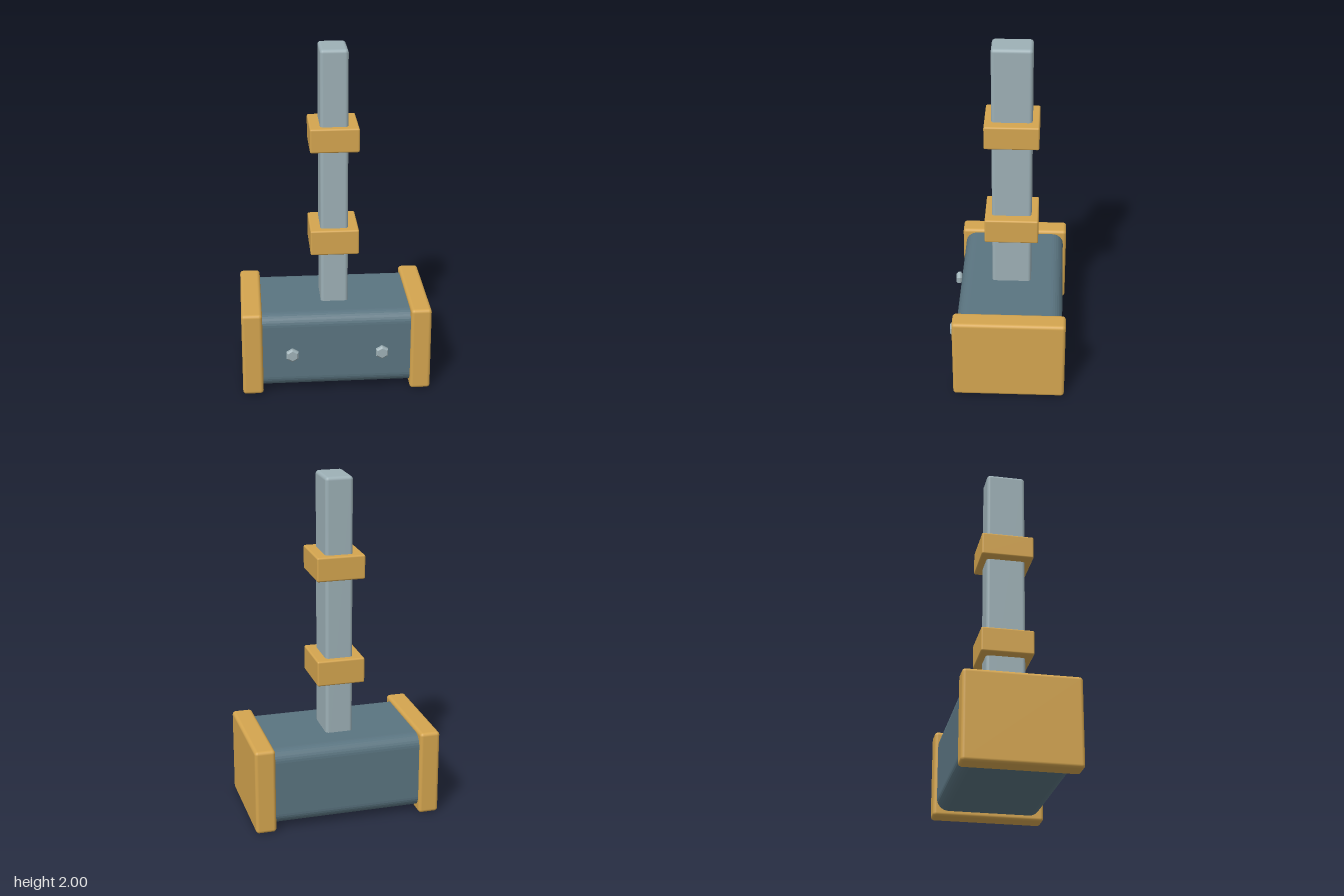
import * as THREE from 'three';
import { RoundedBoxGeometry } from 'three/addons/geometries/RoundedBoxGeometry.js';

const gold = new THREE.MeshStandardMaterial({ color: 0xd4a54f });
const slate = new THREE.MeshStandardMaterial({ color: 0x5a7480 });
const steel = new THREE.MeshStandardMaterial({ color: 0x9db0b6 });

export function createModel() {
  const model = new THREE.Group();

  const add = (name, geometry, material) => {
    const mesh = new THREE.Mesh(geometry, material);
    mesh.name = name;
    model.add(mesh);
    return mesh;
  };

  // Rounded block given by its [min, max] along each axis
  const block = (name, x, y, z, radius, material) => {
    const geometry = new RoundedBoxGeometry(x[1] - x[0], y[1] - y[0], z[1] - z[0], 3, radius);
    const mesh = add(name, geometry, material);
    mesh.position.set((x[0] + x[1]) / 2, (y[0] + y[1]) / 2, (z[0] + z[1]) / 2);
  };

  // Hammer head: a rounded section swept along x
  const [z0, z1, y0, y1, r] = [-0.32, 0.29, 0.03, 0.49, 0.07];
  const section = new THREE.Shape();
  section.absarc(-z0 - r, y1 - r, r, 0, Math.PI / 2);
  section.absarc(-z1 + r, y1 - r, r, Math.PI / 2, Math.PI);
  section.absarc(-z1 + r, y0 + r, r, Math.PI, Math.PI * 1.5);
  section.absarc(-z0 - r, y0 + r, r, Math.PI * 1.5, Math.PI * 2);
  section.closePath();
  const headGeometry = new THREE.ExtrudeGeometry(section, { depth: 0.9, bevelEnabled: false, curveSegments: 4 });
  headGeometry.translate(0, 0, -0.45).rotateY(Math.PI / 2);
  add('head', headGeometry, slate);

  // Striking caps at both ends
  block('leftCap', [0.43, 0.55], [0, 0.51], [-0.34, 0.31], 0.02, gold);
  block('rightCap', [-0.55, -0.43], [0, 0.51], [-0.34, 0.31], 0.02, gold);

  // Handle and its two collars
  block('handle', [-0.08, 0.08], [0.4, 2], [-0.13, 0.1], 0.02, steel);
  block('lowerCollar', [-0.14, 0.14], [0.8, 0.95], [-0.17, 0.14], 0.01, gold);
  block('upperCollar', [-0.14, 0.14], [1.42, 1.56], [-0.17, 0.14], 0.01, gold);

  // Hexagonal bolt heads with bevelled rims
  const profile = [[0, 0], [0.03, 0], [0.04, 0.01], [0.04, 0.03], [0.03, 0.04], [0, 0.04]]
    .map(([x, y]) => new THREE.Vector2(x, y * 0.85));
  const boltGeometry = new THREE.LatheGeometry(profile, 6).toNonIndexed();
  boltGeometry.computeVertexNormals();
  boltGeometry.rotateX(Math.PI / 2);
  for (const [name, x] of [['leftBolt', 0.26], ['rightBolt', -0.26]]) {
    add(name, boltGeometry, steel).position.set(x, 0.26, 0.31);
  }

  return model;
}
